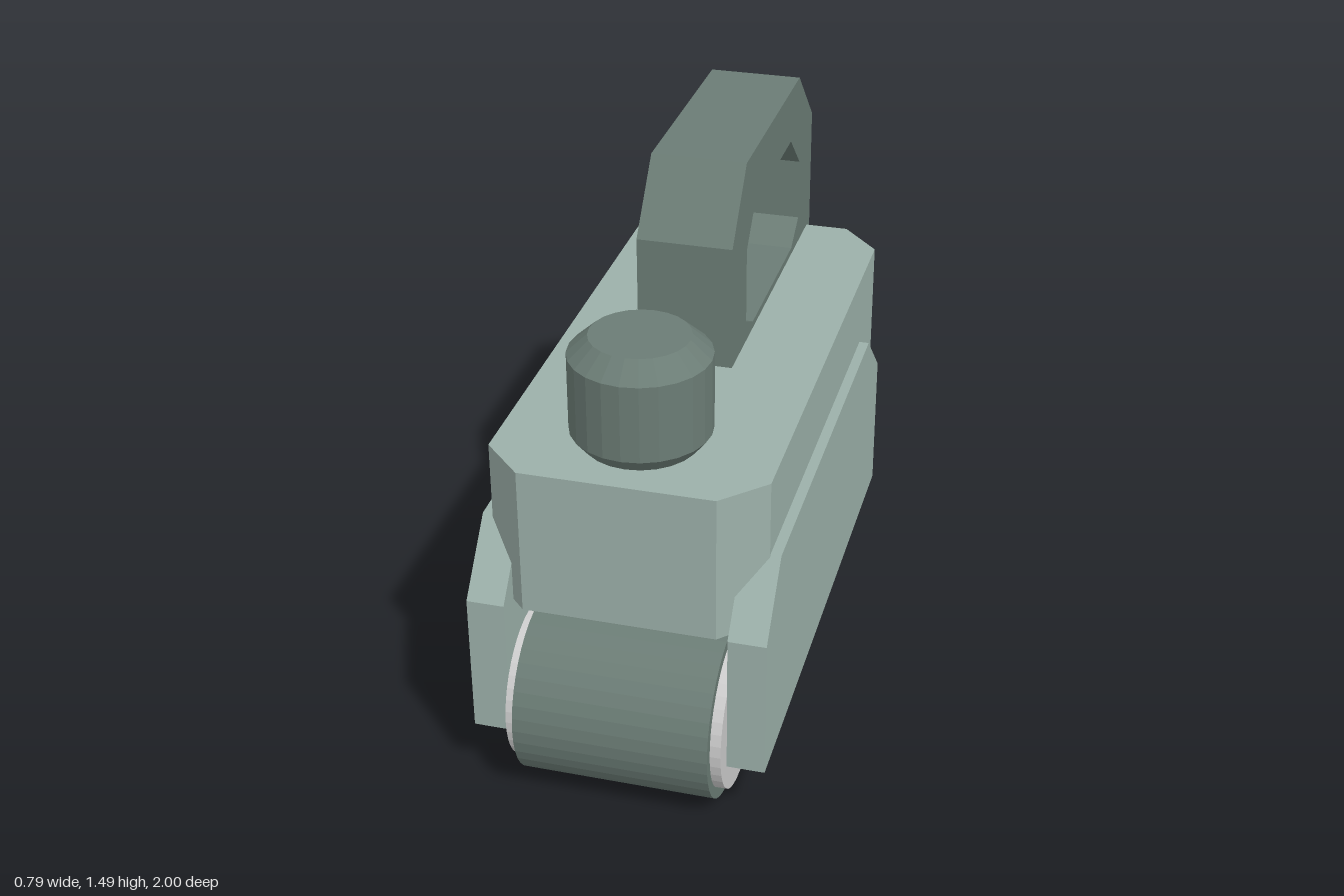
import * as THREE from 'three';

const mat = (color) => new THREE.MeshStandardMaterial({ color, flatShading: true });
const light = mat(0x9cb0a9), dark = mat(0x6b7c75), grey = mat(0xcccccc);

const shapeOf = (pts) => new THREE.Shape(pts.map(([a, b]) => new THREE.Vector2(a, b)));

// Side profile of (z, y) points, extruded along x and centred on it
function sideExtrude(shape, width) {
  const geo = new THREE.ExtrudeGeometry(shape, { depth: width, bevelEnabled: false });
  return geo.translate(0, 0, -width / 2).rotateY(-Math.PI / 2);
}

// Stadium outline around the two roller centres
function stadium(r, n = 20) {
  const pts = [];
  for (const [z, start] of [[FRONT_Z, -Math.PI / 2], [REAR_Z, Math.PI / 2]]) {
    for (let i = 0; i <= n; i++) {
      const a = start + (i / n) * Math.PI;
      pts.push([z + r * Math.cos(a), ROLLER_Y + r * Math.sin(a)]);
    }
  }
  return shapeOf(pts);
}

const FRONT_Z = 0.76, REAR_Z = -0.39, ROLLER_Y = 0.24;

export function createModel() {
  const model = new THREE.Group();
  model.name = 'beltSander';
  const add = (name, geo, material, x = 0, y = 0, z = 0) => {
    const mesh = new THREE.Mesh(geo, material);
    mesh.name = name;
    mesh.position.set(x, y, z);
    model.add(mesh);
    return mesh;
  };

  // Main housing with chamfered upright corners, drawn in plan (x, z)
  const plan = shapeOf([
    [-0.255, -0.7], [0.255, -0.7], [0.365, -0.58], [0.365, 0.78],
    [0.255, 0.89], [-0.255, 0.89], [-0.365, 0.78], [-0.365, -0.58],
  ]);
  const body = new THREE.ExtrudeGeometry(plan, { depth: 0.41, bevelEnabled: false });
  add('housing', body.rotateX(Math.PI / 2), light, 0, 0.96, 0);

  // Side plates
  const plate = shapeOf([
    [0.925, 0.18], [0.925, 0.575], [0.775, 0.75],
    [-0.38, 0.75], [-0.56, 0.585], [-0.56, 0.18],
  ]);
  for (const s of [1, -1]) {
    add(s > 0 ? 'leftSidePlate' : 'rightSidePlate', sideExtrude(plate, 0.1), light, s * 0.343);
  }

  // Sanding belt
  const belt = stadium(0.24);
  belt.holes.push(stadium(0.212));
  add('sandingBelt', sideExtrude(belt, 0.52), dark);

  // Rollers and their axles
  for (const [label, z] of [['front', FRONT_Z], ['rear', REAR_Z]]) {
    const roller = new THREE.CylinderGeometry(0.21, 0.21, 0.576, 40).rotateZ(Math.PI / 2);
    const axle = new THREE.CylinderGeometry(0.05, 0.05, 0.62, 16).rotateZ(Math.PI / 2);
    add(label + 'Roller', roller, grey, 0, ROLLER_Y, z);
    add(label + 'Axle', axle, grey, 0, ROLLER_Y, z);
  }

  // Loop handle with an eight-sided opening
  const handle = shapeOf([
    [0.24, 0.92], [0.24, 1.31], [0.09, 1.492], [-0.55, 1.492],
    [-0.74, 1.31], [-0.74, 0.91], [-0.69, 0.87], [-0.6, 0.87],
  ]);
  handle.holes.push(shapeOf([
    [0.08, 1.02], [0.08, 1.235], [-0.01, 1.335], [-0.45, 1.335],
    [-0.575, 1.22], [-0.575, 1.04], [-0.485, 0.98], [0, 0.98],
  ]));
  add('handle', sideExtrude(handle, 0.26), dark);
  add('trigger', new THREE.BoxGeometry(0.13, 0.13, 0.2), dark, 0, 1.3, -0.08);

  // Front grip knob
  const knob = [[0, 0.95], [0.152, 0.95], [0.152, 0.96], [0.184, 1.0], [0.184, 1.21], [0.13, 1.26], [0, 1.26]];
  add('frontKnob', new THREE.LatheGeometry(knob.map(([r, y]) => new THREE.Vector2(r, y)), 24), dark, 0, 0, 0.655);

  // Rear block and power cord
  add('rearBlock', new THREE.BoxGeometry(0.512, 0.29, 0.12), dark, 0, 0.745, -0.735);
  add('powerCord', new THREE.CylinderGeometry(0.055, 0.055, 0.23, 16).rotateX(Math.PI / 2), dark, 0, 0.74, -0.885);

  return model;
}
